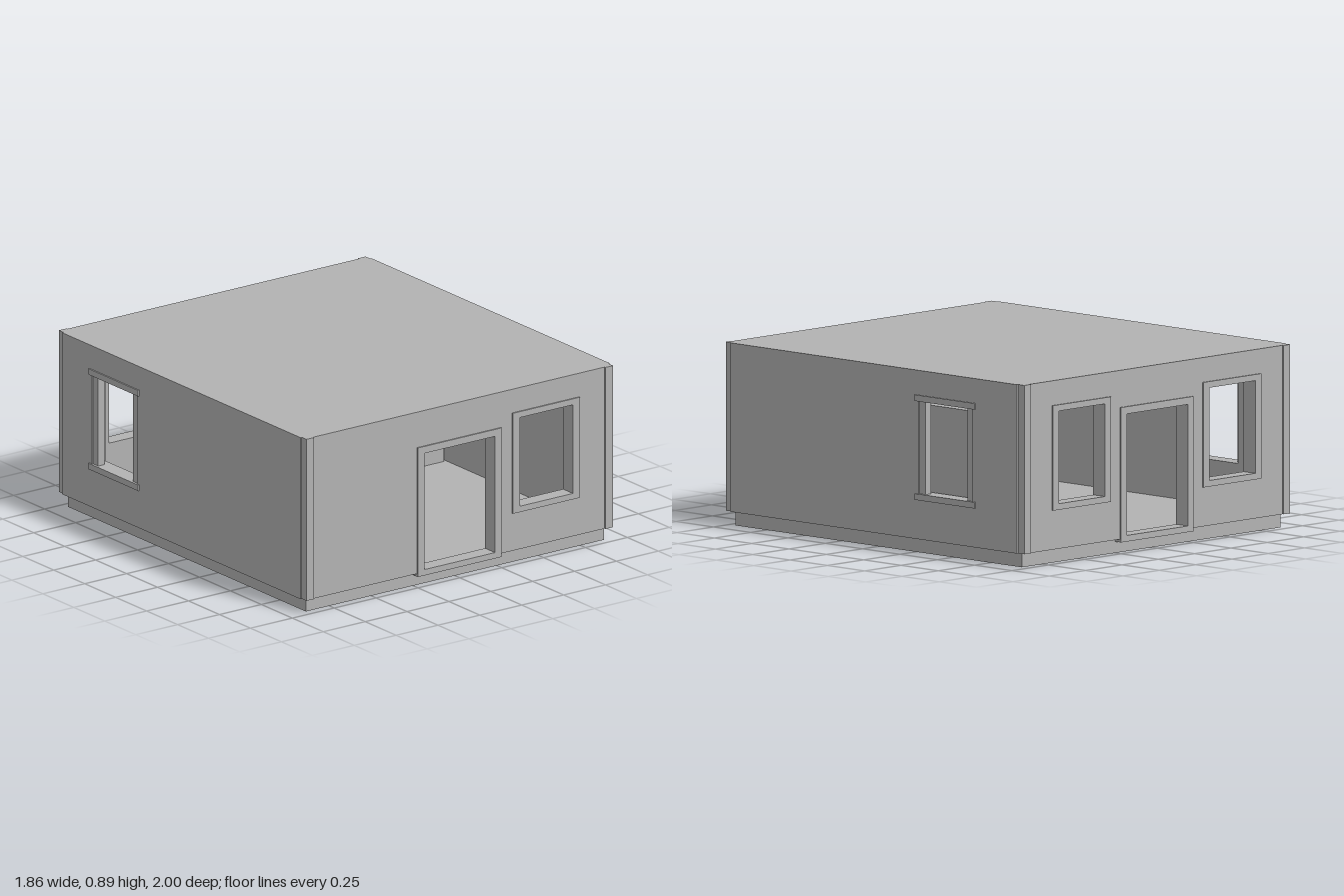
import * as THREE from 'three';

const grey = new THREE.MeshStandardMaterial({ color: 0xb2b2b2 });
grey.name = 'plain grey';

// Box given by its minimum and maximum corners
function box(name, x0, x1, y0, y1, z0, z1) {
  const m = new THREE.Mesh(new THREE.BoxGeometry(x1 - x0, y1 - y0, z1 - z0), grey);
  m.position.set((x0 + x1) / 2, (y0 + y1) / 2, (z0 + z1) / 2);
  m.name = name;
  return m;
}

// Upright plate with rectangular holes; rectangles are [x0, x1, y0, y1]
function plate(name, outer, holes, depth) {
  const trace = (p, [x0, x1, y0, y1]) =>
    p.moveTo(x0, y0).lineTo(x1, y0).lineTo(x1, y1).lineTo(x0, y1).lineTo(x0, y0);
  const shape = trace(new THREE.Shape(), outer);
  shape.holes = holes.map((h) => trace(new THREE.Path(), h));
  const m = new THREE.Mesh(new THREE.ExtrudeGeometry(shape, { depth, bevelEnabled: false }), grey);
  m.name = name;
  return m;
}

const BASE = 0.07, TOP = 0.89;
const DOOR = [-0.21, 0.21, 0.085, 0.675];
const WINDOW = [0.36, 0.675, 0.29, 0.74];
const WINDOW_L = [-0.675, -0.36, 0.29, 0.74];

// End wall facing +z with its door, windows, frames and corner strips
function endWall(name, windows) {
  const g = new THREE.Group();
  g.name = name;
  const wall = plate('wall', [-0.915, 0.915, BASE, TOP], [DOOR, ...windows], 0.073);
  wall.position.z = 0.92;
  g.add(wall);
  for (const w of windows) {
    const frame = plate('windowFrame', [w[0] - 0.042, w[1] + 0.042, 0.26, 0.77], [w], 0.007);
    frame.position.z = 0.993;
    g.add(frame);
  }
  const frame = plate('doorFrame', [-0.25, 0.25, 0.055, 0.71], [DOOR], 0.007);
  frame.position.z = 0.993;
  g.add(frame);
  g.add(box('threshold', -0.25, 0.25, 0.055, 0.085, 0.955, 0.993));
  for (const s of [-1, 1]) {
    g.add(box('cornerStrip', s * 0.8925 - 0.0225, s * 0.8925 + 0.0225, BASE, TOP, 0.993, 1));
  }
  return g;
}

// Long wall on side s with one window centred at z = c
function sideWall(name, s, c) {
  const g = new THREE.Group();
  g.name = name;
  const wall = plate('wall', [-0.96, 0.96, BASE, TOP], [[-s * c - 0.18, -s * c + 0.18, 0.29, 0.74]], 0.08);
  wall.rotation.y = s * Math.PI / 2;
  wall.position.x = s * 0.843;
  g.add(wall);
  const add = (n, x0, x1, y0, y1, z0, z1) =>
    g.add(box(n, Math.min(s * x0, s * x1), Math.max(s * x0, s * x1), y0, y1, c + z0, c + z1));
  add('windowHeader', 0.9, 0.93, 0.74, 0.77, -0.2, 0.2);
  add('windowSill', 0.9, 0.93, 0.26, 0.29, -0.2, 0.2);
  add('windowJamb', 0.88, 0.917, 0.29, 0.74, -0.18, -0.14);
  add('windowJamb', 0.88, 0.917, 0.29, 0.74, 0.14, 0.18);
  return g;
}

// Open shelf unit against the right-hand wall
function shelfUnit() {
  const g = new THREE.Group();
  g.name = 'shelfUnit';
  g.add(box('backPanel', 0.815, 0.83, BASE, 0.7, -0.8, -0.25));
  g.add(box('topBoard', 0.595, 0.83, 0.695, 0.71, -0.8, -0.25));
  for (const z of [-0.8, -0.265]) g.add(box('endPanel', 0.595, 0.83, BASE, 0.7, z, z + 0.015));
  for (const y of [0.075, 0.23, 0.385, 0.54]) {
    g.add(box('shelf', 0.6, 0.82, y, y + 0.015, -0.79, -0.26));
  }
  return g;
}

export function createModel() {
  const house = new THREE.Group();
  house.name = 'house';

  // Plinth, which is also the floor, and the flat roof slab
  house.add(box('plinth', -0.89, 0.89, 0, BASE + 0.005, -0.96, 0.96));
  house.add(box('roof', -0.85, 0.85, 0.83, TOP, -0.93, 0.93));

  // Walls
  house.add(endWall('frontWall', [WINDOW]));
  const back = endWall('backWall', [WINDOW, WINDOW_L]);
  back.rotation.y = Math.PI;
  house.add(back);
  house.add(sideWall('rightWall', 1, -0.48), sideWall('leftWall', -1, -0.54));

  house.add(shelfUnit());
  return house;
}
